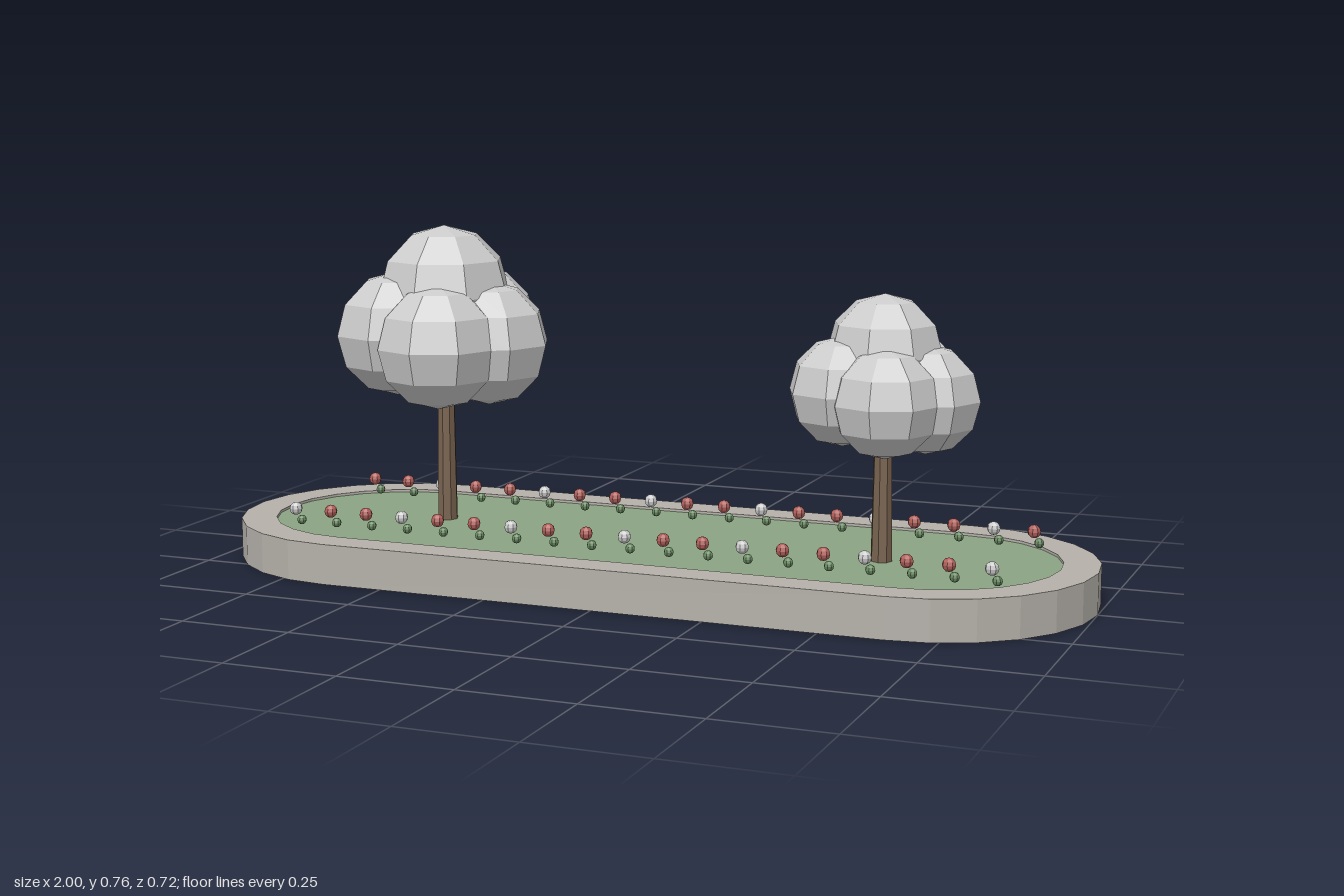
import * as THREE from 'three';

const mat = (color, extra = {}) => new THREE.MeshStandardMaterial({ color, flatShading: true, ...extra });
const curbMat = mat(0xb5b1aa, { side: THREE.DoubleSide });
const soilMat = mat(0x7a6050);
const grassMat = mat(0x8ba383);
const trunkMat = mat(0x78624f);
const leafMat = mat(0xcccccc);
const stemMat = mat(0x6a8a62);
const redMat = mat(0xb05f5a);
const paleMat = mat(0xcccccc);

const STRAIGHT = 0.64; // half length of the straight sides
const END_SEGS = 12;

function add(parent, name, geometry, material, x = 0, y = 0, z = 0) {
  const mesh = new THREE.Mesh(geometry, material);
  mesh.name = name;
  mesh.position.set(x, y, z);
  parent.add(mesh);
  return mesh;
}

// Outline of a rounded-end island with end radius r
function stadium(r) {
  const pts = [];
  for (const side of [1, -1]) {
    for (let i = 0; i <= END_SEGS; i++) {
      const a = -Math.PI / 2 + (Math.PI * i) / END_SEGS;
      pts.push(new THREE.Vector2(side * (STRAIGHT + r * Math.cos(a)), side * r * Math.sin(a)));
    }
  }
  return pts;
}

// Sweep a profile of [radius, height] around the island outline
function sweep(profile) {
  const pos = [], index = [];
  const n = 2 * (END_SEGS + 1);
  for (const [r, y] of profile) for (const p of stadium(r)) pos.push(p.x, y, -p.y);
  for (let j = 0; j < profile.length - 1; j++) {
    for (let i = 0; i < n; i++) {
      const a = j * n + i, b = j * n + ((i + 1) % n);
      index.push(a, b, b + n, a, b + n, a + n);
    }
  }
  const g = new THREE.BufferGeometry();
  g.setAttribute('position', new THREE.Float32BufferAttribute(pos, 3));
  g.setIndex(index);
  g.computeVertexNormals();
  return g;
}

// Trunk, five round leaf clumps around it and one on top
function tree(name, x, z, o) {
  const g = new THREE.Group();
  g.name = name;
  g.position.set(x, 0, z);
  const base = 0.07;
  add(g, 'trunk', new THREE.CylinderGeometry(0.018, 0.024, o.mid - base, 8), trunkMat, 0, (o.mid + base) / 2, 0);
  add(g, 'topLeaves', new THREE.SphereGeometry(o.topR, 8, 6), leafMat, 0, o.topY, 0);
  o.lift.forEach((dy, k) => {
    const a = (k * Math.PI * 2) / 5;
    add(g, 'sideLeaves', new THREE.SphereGeometry(o.r, 8, 6), leafMat,
      o.d * Math.cos(a), o.mid + dy, o.d * Math.sin(a));
  });
  return g;
}

export function createModel() {
  const model = new THREE.Group();
  model.name = 'plantedIsland';

  // Curb, open underneath
  add(model, 'curb', sweep([[0.36, 0], [0.36, 0.09], [0.28, 0.09], [0.28, 0]]), curbMat);

  // Soil slab with grass on top
  const inner = new THREE.Shape(stadium(0.281));
  const soil = new THREE.ExtrudeGeometry(inner, { depth: 0.055, bevelEnabled: false });
  add(model, 'soil', soil.rotateX(-Math.PI / 2), soilMat, 0, 0.025, 0);
  const grass = new THREE.ShapeGeometry(new THREE.Shape(stadium(0.28)));
  add(model, 'grass', grass.rotateX(-Math.PI / 2), grassMat, 0, 0.084, 0);

  // Trees
  model.add(tree('largeTree', -0.521, -0.02, {
    mid: 0.5, d: 0.11, r: 0.142, topR: 0.156, topY: 0.609, lift: [0, 0, 0.02, 0.01, 0.022],
  }));
  model.add(tree('smallTree', 0.538, 0.03, {
    mid: 0.44, d: 0.092, r: 0.118, topR: 0.127, topY: 0.533, lift: [0, 0, 0.015, 0.005, 0.018],
  }));

  // Two rows of flowers
  const bloomGeo = new THREE.SphereGeometry(0.015, 8, 6);
  const leafGeo = new THREE.SphereGeometry(0.011, 8, 6);
  for (const [row, z] of [[0, 0.187], [1, -0.193]]) {
    for (let i = 0; i < 19; i++) {
      const flower = new THREE.Group();
      flower.name = 'flower';
      flower.position.set(-0.801 + 0.09 * i, 0, z);
      add(flower, 'flowerLeaf', leafGeo, stemMat, 0.01, 0.099, -0.004);
      add(flower, 'bloom', bloomGeo, (i + row) % 3 === 0 ? paleMat : redMat, 0, 0.126, 0.004);
      model.add(flower);
    }
  }
  return model;
}
